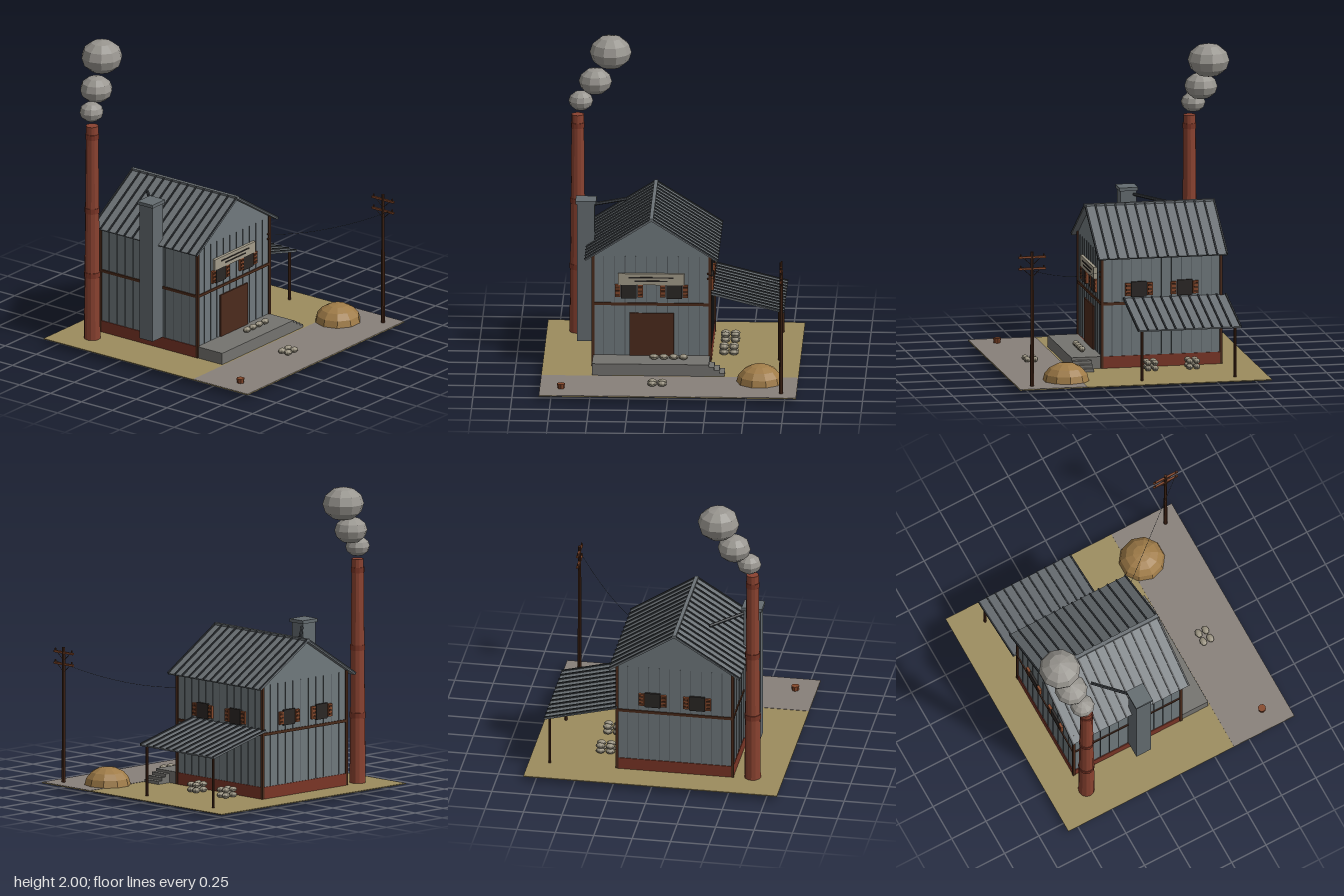
import * as THREE from 'three';

const C = {
  earth: 0x9c8c5e, road: 0x88807a, wall: 0x70797d, seam: 0x50575b, roof: 0x6c7276, rib: 0x33373b,
  brick: 0x7a3526, stack: 0x8a4230, wood: 0x4a2a1a, door: 0x4c2a1c, shutter: 0x86482a, pane: 0x2b2725,
  sign: 0xa39c8a, concrete: 0x74736f, sack: 0x98917f, hay: 0xa07c48, smoke: 0x98958f, duct: 0x646c70, leaf: 0x35502a,
};
const mats = {};
const mat = (c) => (mats[c] ??= new THREE.MeshStandardMaterial({ color: c, flatShading: true }));

function add(parent, name, geo, color, x = 0, y = 0, z = 0) {
  const m = new THREE.Mesh(geo, mat(color));
  m.name = name;
  m.position.set(x, y, z);
  parent.add(m);
  return m;
}
const box = (p, name, [w, h, d], [x, y, z], c) => add(p, name, new THREE.BoxGeometry(w, h, d), c, x, y, z);
const cyl = (p, name, rt, rb, h, [x, y, z], c, n = 8) =>
  add(p, name, new THREE.CylinderGeometry(rt, rb, h, n), c, x, y, z);
// Round bar between two points
function bar(p, name, a, b, r, c) {
  const A = new THREE.Vector3(...a), B = new THREE.Vector3(...b), d = B.clone().sub(A);
  const m = cyl(p, name, r, r, d.length(), A.clone().add(B).multiplyScalar(0.5).toArray(), c, 6);
  m.quaternion.setFromUnitVectors(new THREE.Vector3(0, 1, 0), d.normalize());
}
function group(parent, name, x = 0, y = 0, z = 0) {
  const g = new THREE.Group();
  g.name = name;
  g.position.set(x, y, z);
  parent.add(g);
  return g;
}

const G = 0.04;                                     // ground level
const X0 = -0.5, X1 = 0.25, Z0 = -0.61, Z1 = 0.17;  // house walls
const CX = (X0 + X1) / 2, CZ = (Z0 + Z1) / 2, W = X1 - X0, D = Z1 - Z0;

// Corrugated sheet sloping down along local x, ribs spread along z
function sheet(parent, name, x, y, dx, dy, z0, z1, ribs) {
  const g = group(parent, name, x, y, 0), s = Math.sign(dx), L = Math.hypot(dx, dy);
  g.rotation.z = -s * Math.atan(dy / Math.abs(dx));
  box(g, 'sheet', [L, 0.01, z1 - z0], [s * L / 2, 0, (z0 + z1) / 2], C.roof);
  for (let i = 0; i <= ribs; i++)
    box(g, 'rib', [L, 0.012, 0.01], [s * L / 2, 0.007, z0 + 0.005 + (z1 - z0 - 0.01) * i / ribs], C.rib);
}

function shutteredWindow(parent, x, z, rotY) {
  const g = group(parent, 'window', x, 0.55, z);
  g.rotation.y = rotY;
  box(g, 'pane', [0.1, 0.1, 0.02], [0, 0, 0], C.pane);
  for (const s of [-1, 1]) {
    box(g, 'shutter', [0.036, 0.082, 0.016], [s * 0.072, 0, 0.004], C.shutter);
    for (const y of [-0.025, 0, 0.025]) box(g, 'slat', [0.026, 0.012, 0.006], [s * 0.072, y, 0.013], C.wood);
  }
}

function house(root) {
  const g = group(root, 'house');
  // Walls with both gables
  const e = 0.785, s = new THREE.Shape();
  s.moveTo(X0, G); s.lineTo(X1, G); s.lineTo(X1, e); s.lineTo(CX, 1.022); s.lineTo(X0, e); s.closePath();
  add(g, 'walls', new THREE.ExtrudeGeometry(s, { depth: D, bevelEnabled: false }), C.wall, 0, 0, Z0);
  box(g, 'brickBase', [W + 0.01, 0.08, D + 0.01], [CX, 0.077, CZ], C.brick);
  box(g, 'beltBeam', [W + 0.014, 0.018, D + 0.014], [CX, 0.46, CZ], C.wood);
  // Sheet seams
  for (let i = 1; i < 11; i++)
    box(g, 'endSeam', [0.004, 0.66, D + 0.008], [X0 + W * i / 11, 0.45, CZ], C.seam);
  for (let i = 1; i < 12; i++)
    box(g, 'sideSeam', [W + 0.008, 0.66, 0.004], [CX, 0.45, Z0 + D * i / 12], C.seam);
  for (const x of [X0, X1]) for (const z of [Z0, Z1])
    box(g, 'cornerPost', [0.018, 0.75, 0.018], [x, 0.417, z], C.wood);
  // Roof
  for (const d of [-1, 1]) sheet(g, 'roofSlope', CX, 1.03, d * 0.425, 0.27, -0.645, 0.207, 13);
  box(g, 'ridgeCap', [0.024, 0.016, 0.856], [CX, 1.034, -0.219], C.roof);
  // Door, sign and windows
  box(g, 'door', [0.285, 0.285, 0.02], [-0.125, 0.258, Z1], C.door);
  box(g, 'signBoard', [0.425, 0.075, 0.02], [-0.127, 0.63, Z1 + 0.01], C.sign);
  box(g, 'signStripe', [0.29, 0.008, 0.004], [-0.127, 0.642, Z1 + 0.021], C.pane);
  box(g, 'signStripe', [0.21, 0.008, 0.004], [-0.127, 0.619, Z1 + 0.021], C.pane);
  for (const x of [-0.27, 0.02]) {
    shutteredWindow(g, x, Z1 + 0.004, 0);
    shutteredWindow(g, x, Z0 - 0.004, Math.PI);
  }
  for (const z of [-0.07, -0.37]) shutteredWindow(g, X1 + 0.004, z, Math.PI / 2);
  // Lean-to
  sheet(g, 'leanToRoof', X1, 0.487, 0.47, 0.118, -0.645, 0.032, 11);
  for (const z of [0, -0.61]) cyl(g, 'leanToPost', 0.009, 0.009, 0.34, [0.69, 0.207, z], C.wood);
  // Loading platform and steps
  box(g, 'platform', [W, 0.08, 0.2], [CX, 0.077, 0.27], C.concrete);
  for (let i = 0; i < 3; i++) {
    const h = 0.06 - i * 0.02;
    box(g, 'step', [0.034, h, 0.125], [X1 + 0.017 + i * 0.033, G + h / 2, 0.307], C.concrete);
  }
  // Square duct and its stay
  box(g, 'duct', [0.11, 0.92, 0.105], [-0.557, 0.58, -0.16], C.duct);
  box(g, 'ductCap', [0.133, 0.022, 0.122], [-0.557, 1.05, -0.16], C.duct);
  bar(g, 'ductStay', [-0.52, 1.015, -0.185], [-0.31, 0.994, -0.38], 0.011, C.rib);
}

function chimney(root) {
  const g = group(root, 'chimney', -0.626, 0, -0.585);
  cyl(g, 'chimneyShaft', 0.04, 0.053, 1.457, [0, 0.768, 0], C.stack, 12);
  for (const [y, r] of [[0.48, 0.053], [0.92, 0.049], [1.425, 0.044]])
    cyl(g, 'chimneyBand', r, r, 0.035, [0, y, 0], C.brick, 12);
  for (const [x, y, z, r] of [[-0.607, 1.582, -0.605, 0.079], [-0.515, 1.703, -0.637, 0.107], [-0.418, 1.89, -0.667, 0.135]])
    add(root, 'smokePuff', new THREE.SphereGeometry(r, 10, 6), C.smoke, x, y, z).scale.y = 0.815;
}

function sacks(root) {
  const g = group(root, 'sacks');
  const sack = (x, y, z) =>
    add(g, 'sack', new THREE.SphereGeometry(1, 8, 6), C.sack, x, y, z).scale.set(0.031, 0.018, 0.023);
  for (let i = 0; i < 4; i++) sack(-0.106 + i * 0.063, 0.137, 0.267);
  for (const x of [-0.106, -0.043]) for (const z of [0.55, 0.6]) sack(x, 0.058, z);
  for (const c of [-0.125, -0.397]) for (const dz of [-0.023, 0.023])
    for (const x of [0.33, 0.393]) for (const y of [0.057, 0.092]) sack(x, y, c + dz);
}

function utilityPole(root) {
  const g = group(root, 'utilityPole', 0.727, 0, 0.727);
  cyl(g, 'pole', 0.01, 0.013, 0.88, [0, 0.48, 0], C.wood);
  for (const y of [0.885, 0.81]) {
    box(g, 'crossArm', [0.013, 0.013, 0.177], [0, y, 0], C.shutter);
    for (const z of [-0.075, 0.075]) cyl(g, 'insulator', 0.005, 0.005, 0.016, [0, y + 0.013, z], C.wood, 6);
    for (const s of [-1, 1]) bar(g, 'brace', [0, y - 0.055, 0], [0, y, s * 0.06], 0.002, C.wood);
  }
  // Sagging wire to the house corner
  const curve = new THREE.QuadraticBezierCurve3(
    new THREE.Vector3(0.727, 0.825, 0.8), new THREE.Vector3(0.47, 0.655, 0.46), new THREE.Vector3(0.23, 0.667, 0.175));
  add(root, 'wire', new THREE.TubeGeometry(curve, 16, 0.0012, 4), C.rib);
  for (const y of [0.667, 0.635]) box(root, 'wireBracket', [0.01, 0.01, 0.02], [0.235, y, Z1 + 0.005], C.wood);
}

export function createModel() {
  const root = new THREE.Group();
  root.name = 'workshopYard';
  box(root, 'ground', [1.65, 0.006, 1.65], [0, G - 0.003, 0], C.earth);
  box(root, 'road', [1.648, 0.006, 0.44], [0, G - 0.001, 0.604], C.road);
  house(root);
  chimney(root);
  sacks(root);
  utilityPole(root);
  // Hay heap
  add(root, 'hayHeap', new THREE.SphereGeometry(0.15, 10, 4, 0, Math.PI * 2, 0, Math.PI / 2), C.hay, 0.58, G, 0.475)
    .scale.y = 0.78;
  // Stump with drooping leaves
  const p = group(root, 'stump', -0.688, 0, 0.662);
  cyl(p, 'stumpTop', 0.026, 0.022, 0.032, [0, 0.057, 0], C.shutter);
  for (let i = 0; i < 6; i++) {
    const a = i * Math.PI / 3;
    bar(p, 'leaf', [0, 0.045, 0], [0.033 * Math.cos(a), i % 2 ? 0.005 : 0.028, 0.033 * Math.sin(a)], 0.006, C.leaf);
  }
  return root;
}
